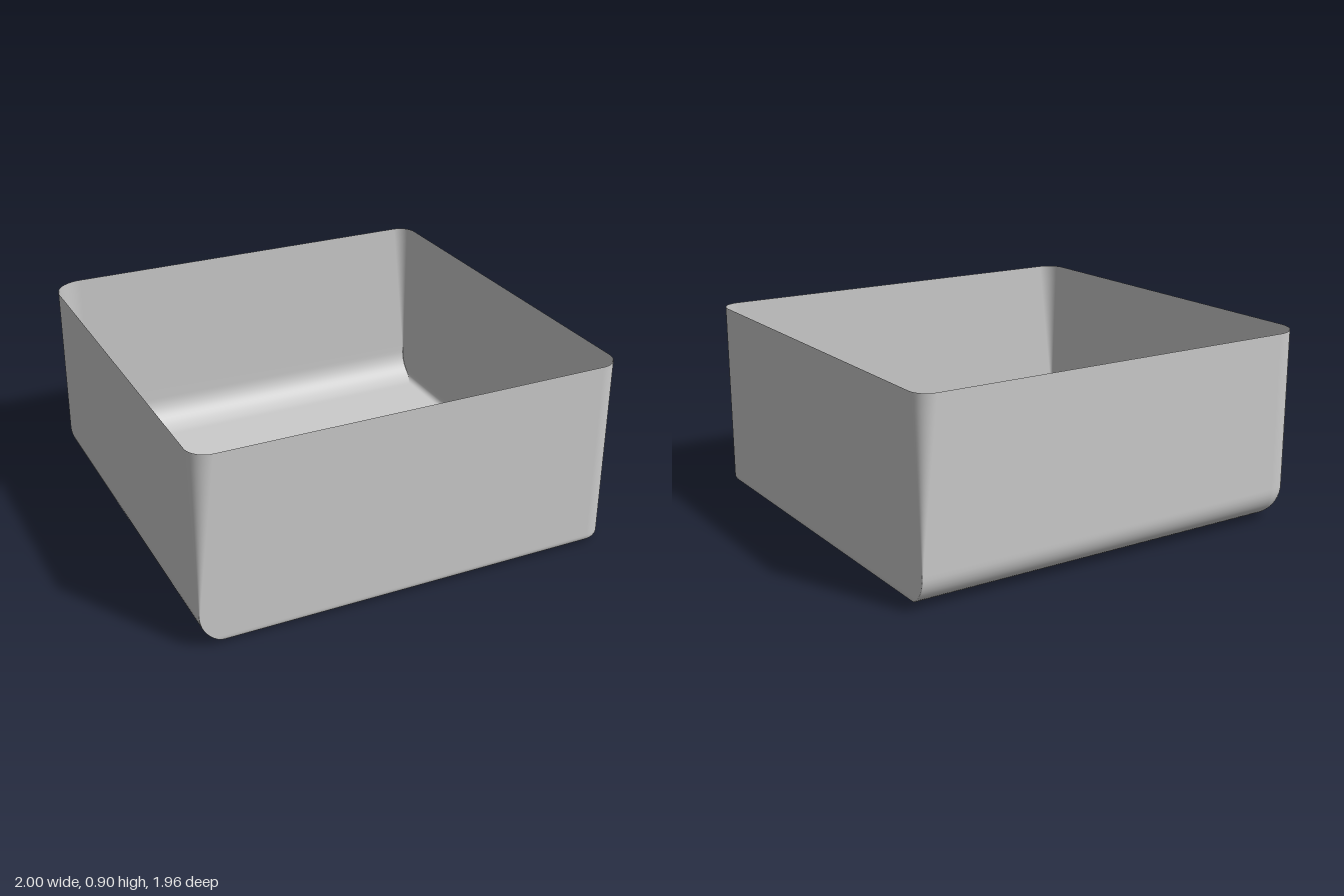
import * as THREE from 'three';

const W = 1, D = 0.98, FLOOR = 0.013, TOP = 0.9;
const grey = new THREE.MeshStandardMaterial({ color: 0xcccccc });
const sheet = new THREE.MeshStandardMaterial({ color: 0xcccccc, side: THREE.DoubleSide });

// How far a wall is pulled in at height h above the floor by a fillet of radius r
const inset = (h, r) => (h >= r ? 0 : r - Math.sqrt(r * r - (r - h) ** 2));

// Horizontal section of the tray: a rectangle with four separate corner radii
function section(y) {
  const h = y - FLOOR;
  const right = inset(h, 0.15), back = inset(h, 0.14), left = inset(h, 0.03), front = inset(h, 0.025);
  const grow = Math.max(0, (h - 0.13) / (TOP - FLOOR - 0.13));
  const corners = [
    [W - left, D - front, 1, 1, 0.1 - left],
    [-W + right, D - front, -1, 1, 0.09 * grow],
    [-W + right, -D + back, -1, -1, 0.145 - right],
    [W - left, -D + back, 1, -1, 0.08 * grow],
  ];
  const pts = [];
  corners.forEach(([x, z, sx, sz, radius], c) => {
    const r = Math.max(radius, 0.004);
    for (let i = 0; i <= 10; i++) {
      const a = (c + i / 10) * Math.PI / 2;
      pts.push([x - sx * r + Math.cos(a) * r, y, z - sz * r + Math.sin(a) * r]);
    }
  });
  return pts;
}

// Open tray: flat floor, filleted bottom edges, walls up to the rim
function trayGeometry() {
  const heights = [];
  for (let i = 0; i <= 12; i++) heights.push(FLOOR + 0.15 * (1 - Math.cos(i / 12 * Math.PI / 2)));
  for (let i = 1; i <= 10; i++) heights.push(FLOOR + 0.15 + (TOP - FLOOR - 0.15) * i / 10);
  const base = section(FLOOR);
  const loops = [base.map(([x, y, z]) => [x * 0.97, y, z * 0.97]), ...heights.map(section)];
  const n = base.length, pos = loops.flat(2), index = [];
  for (let k = 0; k < loops.length - 1; k++) {
    for (let i = 0; i < n; i++) {
      const a = k * n + i, b = k * n + (i + 1) % n;
      index.push(a, a + n, b, b, a + n, b + n);
    }
  }
  pos.push(0, FLOOR, 0);
  for (let i = 0; i < n; i++) index.push(loops.length * n, i, (i + 1) % n);
  const geo = new THREE.BufferGeometry();
  geo.setAttribute('position', new THREE.Float32BufferAttribute(pos, 3));
  geo.setIndex(index);
  geo.computeVertexNormals();
  return geo;
}

// Pipe along corner points, with rounded elbows
function pipeGeometry(points, radius, bend) {
  const v = points.map(([x, y, z]) => new THREE.Vector3(x, y, z));
  const path = new THREE.CurvePath();
  let from = v[0];
  for (let i = 1; i < v.length - 1; i++) {
    const a = v[i].clone().add(v[i - 1].clone().sub(v[i]).setLength(bend));
    const b = v[i].clone().add(v[i + 1].clone().sub(v[i]).setLength(bend));
    path.add(new THREE.LineCurve3(from, a));
    path.add(new THREE.QuadraticBezierCurve3(a, v[i], b));
    from = b;
  }
  path.add(new THREE.LineCurve3(from, v[v.length - 1]));
  return new THREE.TubeGeometry(path, 160, radius, 8);
}

export function createModel() {
  const model = new THREE.Group();
  const add = (name, geo, x = 0, y = 0, z = 0, parent = model, mat = grey) => {
    const mesh = new THREE.Mesh(geo, mat);
    mesh.name = name;
    mesh.position.set(x, y, z);
    parent.add(mesh);
    return mesh;
  };
  const cyl = (r, len, axis = 'y') => {
    const g = new THREE.CylinderGeometry(r, r, len, 16);
    if (axis === 'x') g.rotateZ(Math.PI / 2);
    if (axis === 'z') g.rotateX(Math.PI / 2);
    return g;
  };

  add('tray', trayGeometry(), 0, 0, 0, model, sheet);

  // Miniature pipework lying on the floor
  const works = new THREE.Group();
  works.name = 'pipework';
  model.add(works);
  const Y = 0.022;
  const part = (name, geo, x, z, y = Y) => add(name, geo, x, y, z, works);
  const route = [[-0.41, 0.075], [-0.278, 0.075], [-0.278, -0.062], [-0.168, -0.062],
    [-0.168, -0.21], [-0.238, -0.21], [-0.238, -0.088], [-0.32, -0.088]];
  part('pipe', pipeGeometry(route.map(([x, z]) => [x, 0, z]), 0.006, 0.025), 0, 0);

  // Inlet stub reaching down through the floor
  part('inletStub', cyl(0.008, 0.02, 'x'), -0.465, 0.075);
  part('inletDrain', cyl(0.005, 0.022), -0.465, 0.075, 0.011);

  // Round gauge and in-line filter
  part('gauge', cyl(0.016, 0.018), -0.352, 0.075, 0.024);
  part('filter', cyl(0.014, 0.06, 'z'), -0.168, -0.12);
  part('filterTap', cyl(0.004, 0.03, 'x'), -0.15, -0.142);

  // Valves: body, flanges and stem
  part('lowerValveBody', cyl(0.01, 0.06, 'x'), -0.255, 0);
  for (const x of [-0.295, -0.23]) part('lowerValveFlange', cyl(0.013, 0.008, 'x'), x, 0);
  part('lowerValveStem', cyl(0.005, 0.02), -0.262, 0, 0.03);
  part('upperValveBody', cyl(0.009, 0.03, 'z'), -0.238, -0.165);
  part('upperValveHandle', cyl(0.005, 0.045, 'x'), -0.236, -0.172);

  // Pump on a base plate with mounting studs
  part('pumpBase', new THREE.BoxGeometry(0.085, 0.006, 0.085), -0.357, -0.087, 0.016);
  const body = new THREE.CapsuleGeometry(0.017, 0.03, 6, 16).rotateZ(Math.PI / 2);
  part('pumpBody', body, -0.36, -0.087, 0.026);
  for (const z of [-0.128, -0.046]) {
    for (const x of [-0.385, -0.37]) part('pumpStud', cyl(0.004, 0.022, 'z'), x, z);
  }
  return model;
}
